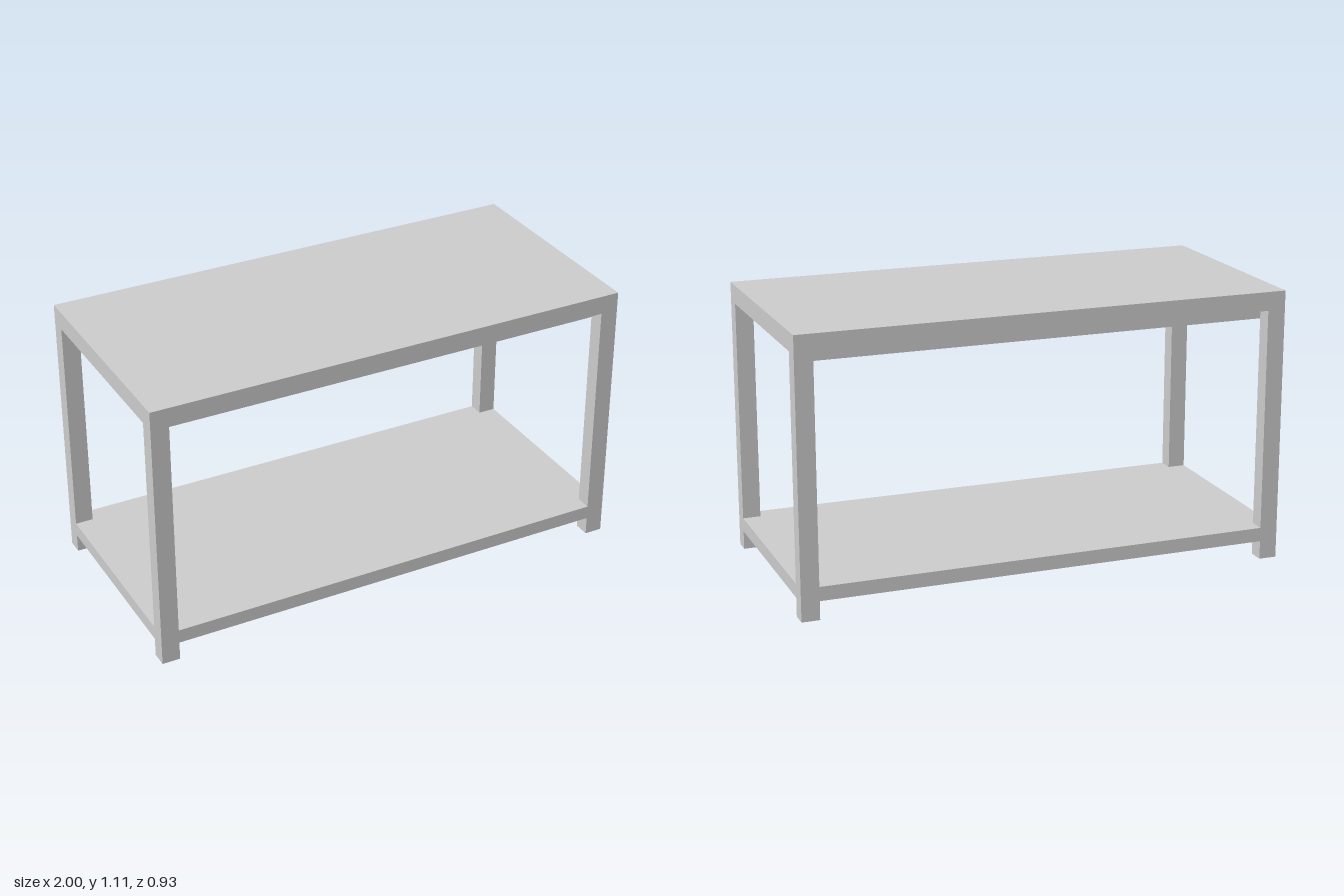
import * as THREE from 'three';

const HX = 1, HZ = 0.467;          // half width and half depth
const LX = 0.073, LZ = 0.066;      // leg section
const HEIGHT = 1.112, TOP = 0.076; // overall height, table top thickness

export function createModel() {
  const group = new THREE.Group();
  const material = new THREE.MeshStandardMaterial({ color: 0xcccccc, side: THREE.DoubleSide });
  const add = (name, geometry, x, y, z) => {
    const mesh = new THREE.Mesh(geometry, material);
    mesh.name = name;
    mesh.position.set(x, y, z);
    group.add(mesh);
  };

  // Table top, flush with the legs
  add('tableTop', new THREE.BoxGeometry(2 * HX, TOP, 2 * HZ), 0, HEIGHT - TOP / 2, 0);

  // Recessed panel under the top, fitting between the legs
  const panel = 0.045;
  add('underPanel', new THREE.BoxGeometry(2 * (HX - LX), panel, 2 * (HZ - LZ)),
    0, HEIGHT - TOP - panel / 2, 0);

  // Legs: square tubes, open at the foot
  const legHeight = HEIGHT - TOP;
  const leg = new THREE.BoxGeometry(LX, legHeight, LZ);
  const index = Array.from(leg.index.array);
  index.splice(18, 6); // drop the bottom face
  leg.setIndex(index);
  leg.clearGroups();
  for (const [sx, side] of [[1, 'Left'], [-1, 'Right']]) {
    for (const [sz, end] of [[1, 'front'], [-1, 'back']]) {
      add(`${end}${side}Leg`, leg, sx * (HX - LX / 2), legHeight / 2, sz * (HZ - LZ / 2));
    }
  }

  // Lower shelf, notched around the four legs
  const ix = HX - LX, iz = HZ - LZ;
  const outline = [
    [ix, -HZ], [ix, -iz], [HX, -iz], [HX, iz], [ix, iz], [ix, HZ],
    [-ix, HZ], [-ix, iz], [-HX, iz], [-HX, -iz], [-ix, -iz], [-ix, -HZ],
  ].map(([x, z]) => new THREE.Vector2(x, z));
  const shelf = new THREE.ExtrudeGeometry(new THREE.Shape(outline), { depth: 0.057, bevelEnabled: false });
  shelf.rotateX(-Math.PI / 2);
  add('lowerShelf', shelf, 0, 0.076, 0);

  return group;
}
